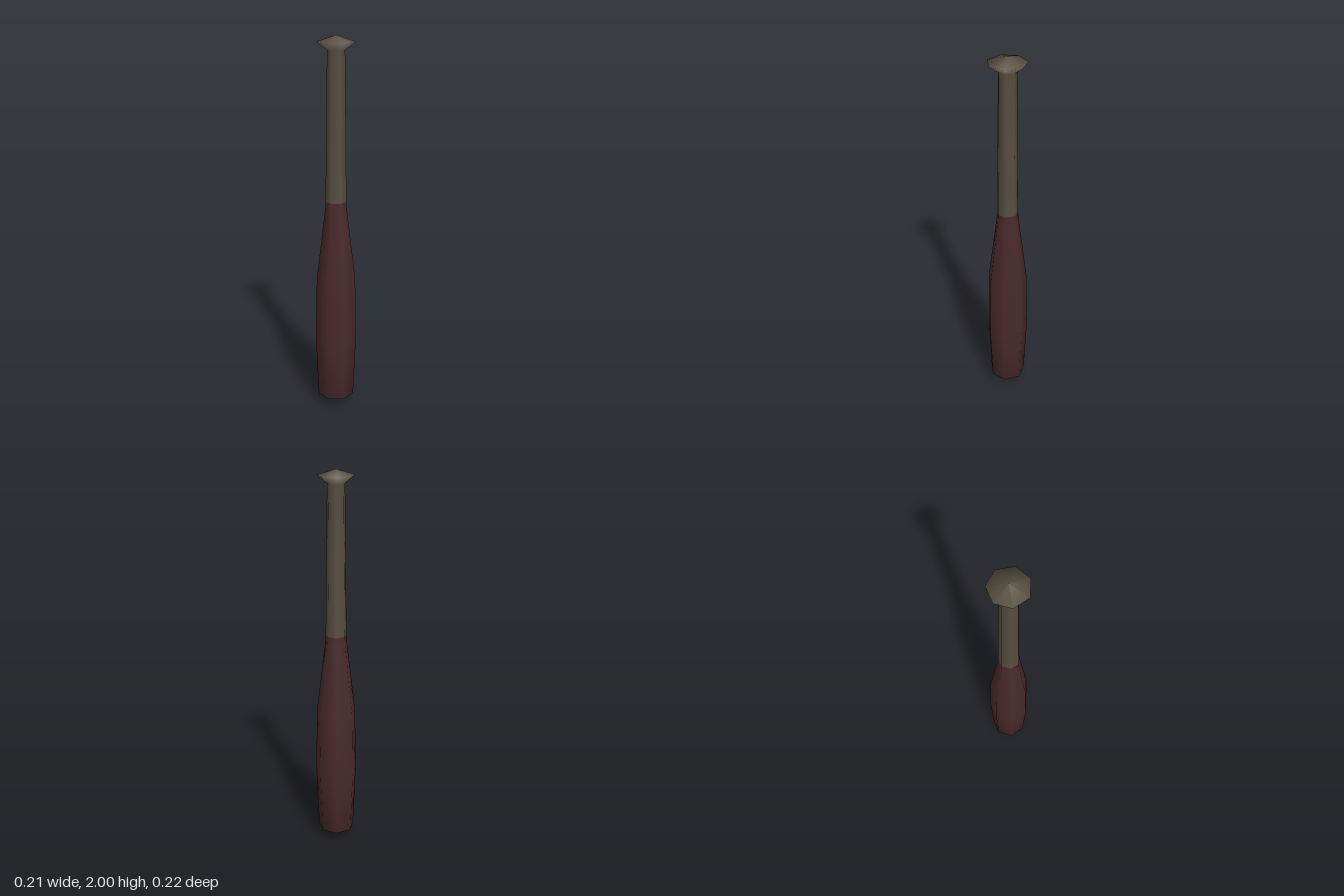
import * as THREE from 'three';

const SIDES = 7;

// Seven-sided turned part from [radius, height] points, bottom to top, with a corner on -x
function turned(name, profile, material) {
  const points = profile.map(([r, y]) => new THREE.Vector2(r, y));
  const mesh = new THREE.Mesh(new THREE.LatheGeometry(points, SIDES, -Math.PI / 2), material);
  mesh.name = name;
  mesh.position.x = 0.005;
  return mesh;
}

export function createModel() {
  const barrelWood = new THREE.MeshStandardMaterial({ name: 'dark red wood', color: 0x4a2a2c });
  const gripWrap = new THREE.MeshStandardMaterial({ name: 'olive grip wrap', color: 0x585040 });

  const bat = new THREE.Group();
  bat.name = 'bat';

  // Barrel, standing on its shallow pointed end and tapering up to the grip
  bat.add(turned('barrel', [
    [0, 0], [0.098, 0.055], [0.1115, 0.4], [0.104, 0.75], [0.057, 1.13], [0.055, 1.17],
  ], barrelWood));

  // Grip, flaring into the knob with a low pointed cap
  bat.add(turned('gripAndKnob', [
    [0.055, 1.17], [0.045, 1.93], [0.097, 1.97], [0, 2],
  ], gripWrap));

  return bat;
}
